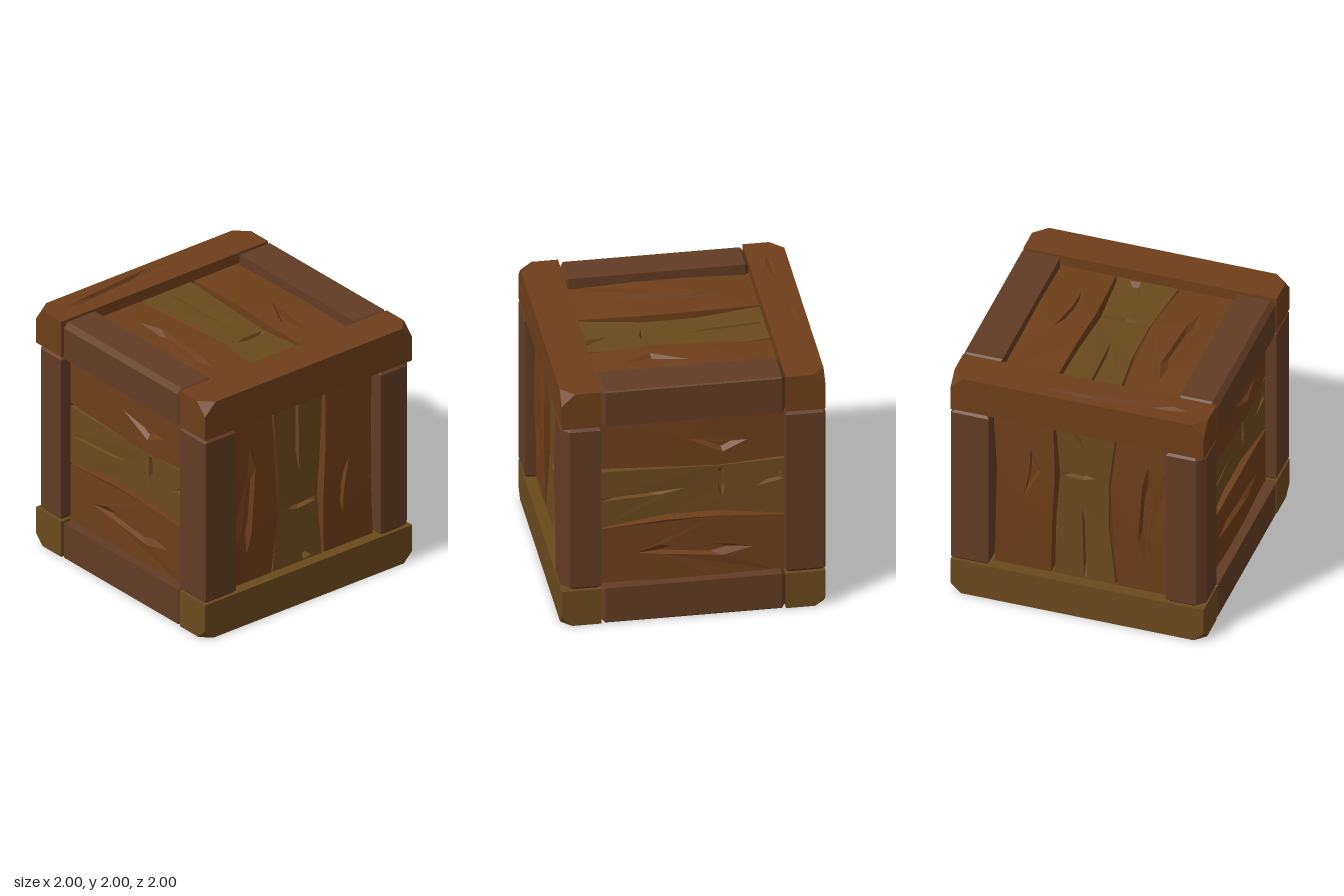
import * as THREE from 'three';
import { ConvexGeometry } from 'three/addons/geometries/ConvexGeometry.js';

const material = (color) => new THREE.MeshStandardMaterial({ color, flatShading: true, side: THREE.DoubleSide });
const brown = material(0x6f3e18);
const olive = material(0x6a4a1c);
const umber = material(0x623c24);

function named(geometry, mat, name) {
  const mesh = new THREE.Mesh(geometry, mat);
  mesh.name = name;
  return mesh;
}

// Extruded board whose front (z = 0) has cracks carved as sunken pits
function crackedBoard(outline, cracks, thickness, pitDepth, warp) {
  const shape = new THREE.Shape(outline.map((p) => new THREE.Vector2(...p)));
  const rings = cracks.map((c) => {
    const ring = c.map((p) => new THREE.Vector2(...p));
    return THREE.ShapeUtils.isClockWise(ring) ? ring.reverse() : ring;
  });
  rings.forEach((r) => shape.holes.push(new THREE.Path(r)));
  const body = new THREE.ExtrudeGeometry(shape, { depth: thickness, bevelEnabled: false });
  body.translate(0, 0, -thickness);
  const pos = Array.from((body.index ? body.toNonIndexed() : body).attributes.position.array);
  for (const ring of rings) {
    const c = ring.reduce((s, p) => s.add(p), new THREE.Vector2()).divideScalar(ring.length);
    const inner = ring.map((p) => p.clone().lerp(c, 0.4));
    ring.forEach((a, i) => {
      const j = (i + 1) % ring.length;
      const b = ring[j], ia = inner[i], ib = inner[j], d = -pitDepth;
      pos.push(a.x, a.y, 0, b.x, b.y, 0, ib.x, ib.y, d);
      pos.push(a.x, a.y, 0, ib.x, ib.y, d, ia.x, ia.y, d);
      pos.push(ia.x, ia.y, d, ib.x, ib.y, d, c.x, c.y, d);
    });
  }
  const geometry = new THREE.BufferGeometry();
  geometry.setAttribute('position', new THREE.Float32BufferAttribute(pos, 3));
  const p = geometry.attributes.position;
  const v = new THREE.Vector3();
  for (let i = 0; i < p.count; i++) {
    warp(v.fromBufferAttribute(p, i));
    p.setXYZ(i, v.x, v.y, v.z);
  }
  geometry.computeVertexNormals();
  return geometry;
}

// Plank running along y; edges given at y = 0.71, 0.2, -0.2, -0.71
const stations = [0.71, 0.2, -0.2, -0.71];
function plank(left, right, cracks, bow) {
  const outline = [
    ...stations.map((y, i) => [left[i], y]),
    ...stations.map((y, i) => [right[i], y]).reverse(),
  ];
  return crackedBoard(outline, cracks, 0.13, 0.035, (v) => {
    const t = THREE.MathUtils.clamp((0.71 - Math.abs(v.y)) / 0.51, 0, 1);
    v.z += bow * t;
  });
}

const plankKinds = [
  ['outerPlank', brown, plank([-0.78, -0.78, -0.78, -0.78], [-0.29, -0.24, -0.24, -0.29],
    [[[-0.51, 0.43], [-0.455, 0.25], [-0.49, -0.28], [-0.535, -0.46], [-0.585, -0.23], [-0.53, 0.25]]], 0.02)],
  ['middlePlank', olive, plank([-0.275, -0.215, -0.215, -0.275], [0.205, 0.2, 0.17, 0.2],
    [
      [[-0.11, -0.23], [-0.02, -0.2], [0.15, -0.205], [0.15, -0.24], [-0.02, -0.255]],
      [[-0.025, -0.49], [0.1, -0.68], [0.02, -0.69]],
      [[-0.05, 0.69], [-0.025, 0.69], [0.0, 0.05], [-0.04, 0.25]],
    ], -0.02)],
  ['splitPlank', brown, plank([0.235, 0.22, 0.2, 0.22], [0.68, 0.672, 0.657, 0.692],
    [[[0.45, 0.05], [0.4, -0.21], [0.395, -0.42], [0.31, -0.23]]], 0.02)],
];

// Three planks, built facing +z around the origin
function panel(name, shift) {
  const group = new THREE.Group();
  group.name = name;
  for (const [kind, mat, geometry] of plankKinds) {
    const mesh = named(geometry, mat, kind);
    mesh.position.set(shift, 0, 0.91);
    group.add(mesh);
  }
  return group;
}

// Long beam with its two outer corners cut off; sy, sz pick the cube edge
function longBeam(sy, sz, cut) {
  const pts = [];
  for (const sx of [-1, 1]) {
    for (const y of [0.7, 1]) {
      for (const z of [0.7, 1]) {
        if (y === 1 && z === 1) {
          pts.push([sx * (1 - cut), 1, 1], [sx, 1 - cut, 1], [sx, 1, 1 - cut]);
        } else pts.push([sx, y, z]);
      }
    }
  }
  return new ConvexGeometry(pts.map(([x, y, z]) => new THREE.Vector3(x, y * sy, z * sz)));
}

// Short beam along y with tapered ends and a bevel on its outer edge
function shortBeam(sx, sz, bevel) {
  const pts = [];
  for (const [y, inset] of [[-0.7, 0.03], [-0.67, 0], [0.67, 0], [0.7, 0.03]]) {
    const a = 0.7 + inset, b = 1 - inset;
    for (const [x, z] of [[a, a], [a, b], [b, a], [b - bevel, b], [b, b - bevel]]) {
      pts.push(new THREE.Vector3(x * sx, y, z * sz));
    }
  }
  return new ConvexGeometry(pts);
}

export function createModel() {
  const model = new THREE.Group();
  model.name = 'crate';
  const crate = new THREE.Group();
  crate.name = 'crateBody';
  crate.position.y = 1;
  model.add(crate);

  // Long beams; the upper back one carries a crack and is made separately
  for (const sz of [1, -1]) {
    crate.add(named(longBeam(-1, sz, 0.08), olive, 'lowerBeam'));
  }
  crate.add(named(longBeam(1, 1, 0.1), brown, 'upperFrontBeam'));

  // Upper back beam: cracked top slab with cut corners over a plain block
  const cut = 0.1;
  const slab = crackedBoard(
    [[-1, 0.7], [1, 0.7], [1, 1 - cut], [1 - cut, 1], [-1 + cut, 1], [-1, 1 - cut]],
    [[[-0.82, 0.85], [-0.7, 0.82], [0, 0.885], [0.27, 0.915], [0, 0.945], [-0.7, 0.88]]],
    cut, 0.03,
    (v) => {
      if (v.z < -cut + 0.001 && Math.abs(v.x) > 0.89 && v.y > 0.89) v.set(Math.sign(v.x), 1, v.z);
    },
  );
  slab.rotateX(-Math.PI / 2);
  slab.translate(0, 1, 0);
  const backBeam = new THREE.Group();
  backBeam.name = 'upperBackBeam';
  const block = named(new THREE.BoxGeometry(2, 0.2, 0.3), brown, 'beamBlock');
  block.position.set(0, 0.8, -0.85);
  backBeam.add(named(slab, brown, 'beamTop'), block);
  crate.add(backBeam);

  // Corner posts and side rails
  for (const sx of [1, -1]) {
    for (const s of [1, -1]) {
      crate.add(named(shortBeam(sx, s, sx * s > 0 ? 0.06 : 0.01), umber, 'cornerPost'));
      const rail = named(shortBeam(sx, s, sx < 0 && s > 0 ? 0.04 : 0.01), umber, 'sideRail');
      rail.rotation.x = -Math.PI / 2;
      crate.add(rail);
    }
  }

  // Panels around the x axis: front, top, back, bottom
  [['frontPanel', 0], ['topPanel', 0.05], ['backPanel', 0], ['bottomPanel', 0]].forEach(([name, shift], i) => {
    const p = panel(name, shift);
    p.rotation.x = -i * Math.PI / 2;
    crate.add(p);
  });

  // Side panels with planks lying along z
  for (const s of [1, -1]) {
    const p = panel(s > 0 ? 'leftPanel' : 'rightPanel', 0.05);
    p.quaternion.setFromRotationMatrix(new THREE.Matrix4().makeBasis(
      new THREE.Vector3(0, 1, 0), new THREE.Vector3(0, 0, s), new THREE.Vector3(s, 0, 0)));
    crate.add(p);
  }
  return model;
}
